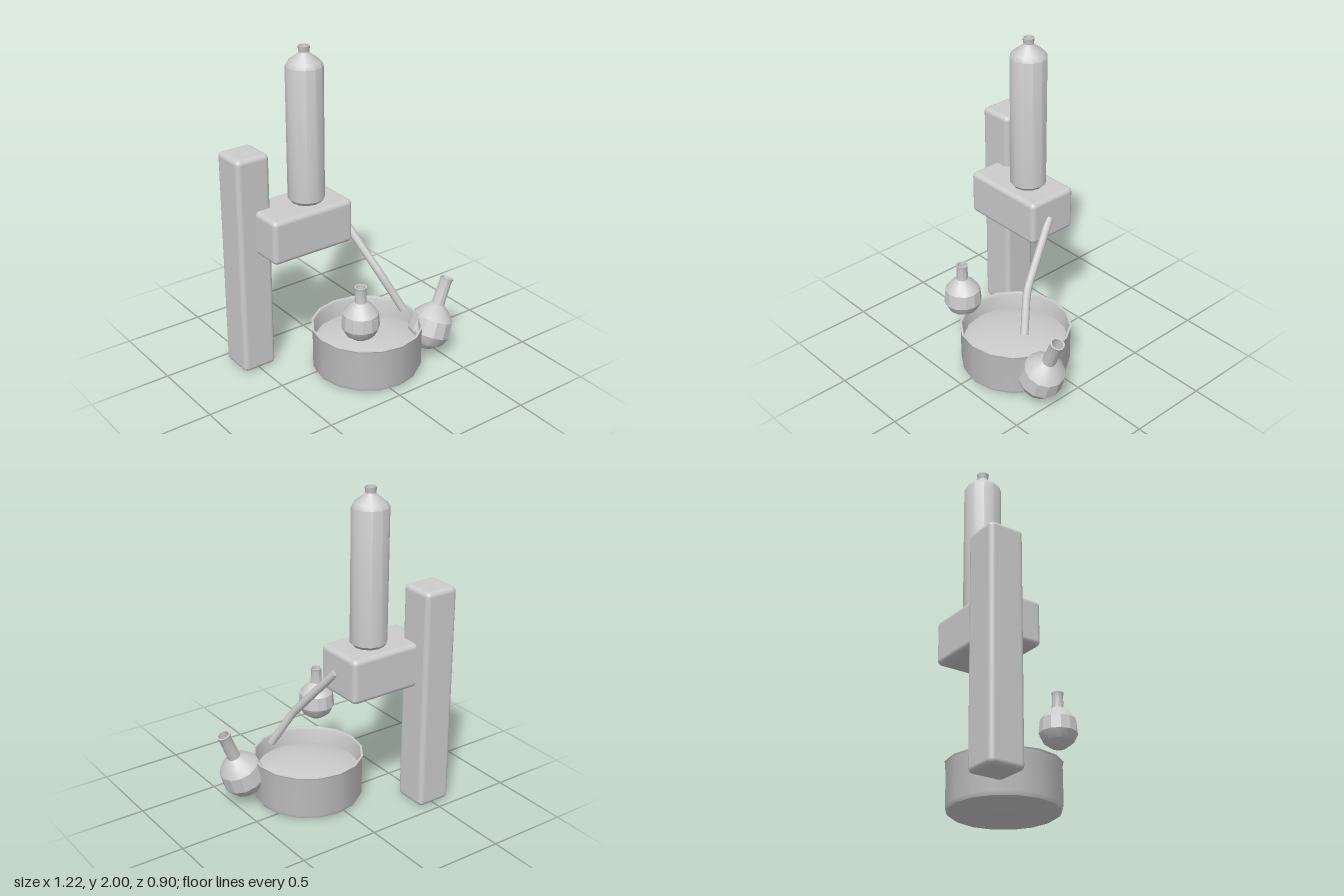
import * as THREE from 'three';
import { toCreasedNormals } from 'three/addons/utils/BufferGeometryUtils.js';
import { RoundedBoxGeometry } from 'three/addons/geometries/RoundedBoxGeometry.js';

export function createModel() {
  const model = new THREE.Group();
  model.name = 'rotaryEvaporator';
  const grey = new THREE.MeshStandardMaterial({ name: 'lightGrey', color: 0xcccccc });

  const add = (name, geometry, x = 0, y = 0, z = 0) => {
    const mesh = new THREE.Mesh(geometry, grey);
    mesh.name = name;
    mesh.position.set(x, y, z);
    model.add(mesh);
    return mesh;
  };
  const lathe = (profile, sides, crease = 0.6) => toCreasedNormals(
    new THREE.LatheGeometry(profile.map(([r, y]) => new THREE.Vector2(r, y)), sides), crease);

  // Stand column and motor housing
  add('column', new RoundedBoxGeometry(0.22, 1.39, 0.22, 3, 0.03), -0.5, 0.7, -0.34);
  add('housing', new RoundedBoxGeometry(0.555, 0.275, 0.33, 3, 0.03), -0.2225, 0.9225, -0.2);

  // Condenser, open at the neck
  add('condenser', lathe([
    [0, 1.05], [0.09, 1.055], [0.11, 1.08], [0.11, 1.885], [0.095, 1.91],
    [0.035, 1.955], [0.03, 1.965], [0.036, 2], [0.028, 2], [0.024, 1.95], [0, 1.93],
  ], 12), -0.165, 0, -0.2);

  // Heating bath: thin open wall, slightly flared rim
  add('bath', lathe([
    [0, 0], [0.305, 0], [0.325, 0.012], [0.335, 0.035], [0.335, 0.275],
    [0.341, 0.288], [0.328, 0.288], [0.322, 0.275], [0.322, 0.06], [0, 0.05],
  ], 16), 0.055, 0, 0.105);

  // Gently domed bath liquid
  add('bathLiquid', lathe([
    [0.322, 0.175], [0.26, 0.195], [0.18, 0.21], [0.09, 0.219], [0, 0.222],
  ], 16, 1.2), 0.055, 0, 0.105);

  // Round flasks share one bulb profile with different necks
  const flask = (s, length) => lathe([
    [0, -0.01 * s], [0.05 * s, 0], [0.105 * s, 0.04 * s], [0.135 * s, 0.1 * s],
    [0.125 * s, 0.2 * s], [0.085 * s, 0.25 * s], [0.042 * s, 0.285 * s],
    [0.038 * s, length - 0.02], [0.044 * s, length], [0.034 * s, length],
    [0.03 * s, 0.28 * s], [0, 0.26 * s],
  ], 12, 0.5);
  add('receivingFlask', flask(0.84, 0.335), -0.165, 0.375, 0.33);
  add('evaporatingFlask', flask(1, 0.46), 0.39, 0.07, 0.245).rotation.z = -0.39;

  // Bent vapour tube with closed ends
  const start = new THREE.Vector3(0.05, 0.925, -0.175);
  const bend = new THREE.Vector3(0.16, 0.58, 0.11);
  const end = new THREE.Vector3(0.25, 0.365, 0.21);
  const before = bend.clone().lerp(start, 0.12);
  const after = bend.clone().lerp(end, 0.2);
  const path = new THREE.CurvePath();
  path.add(new THREE.LineCurve3(start, before));
  path.add(new THREE.QuadraticBezierCurve3(before, bend, after));
  path.add(new THREE.LineCurve3(after, end));
  add('vapourTube', new THREE.TubeGeometry(path, 24, 0.024, 10));
  for (const [t, sign] of [[0, -1], [1, 1]]) {
    const point = path.getPointAt(t);
    const cap = add('tubeEnd', new THREE.CircleGeometry(0.024, 10), point.x, point.y, point.z);
    cap.lookAt(point.clone().addScaledVector(path.getTangentAt(t), sign));
  }

  return model;
}
